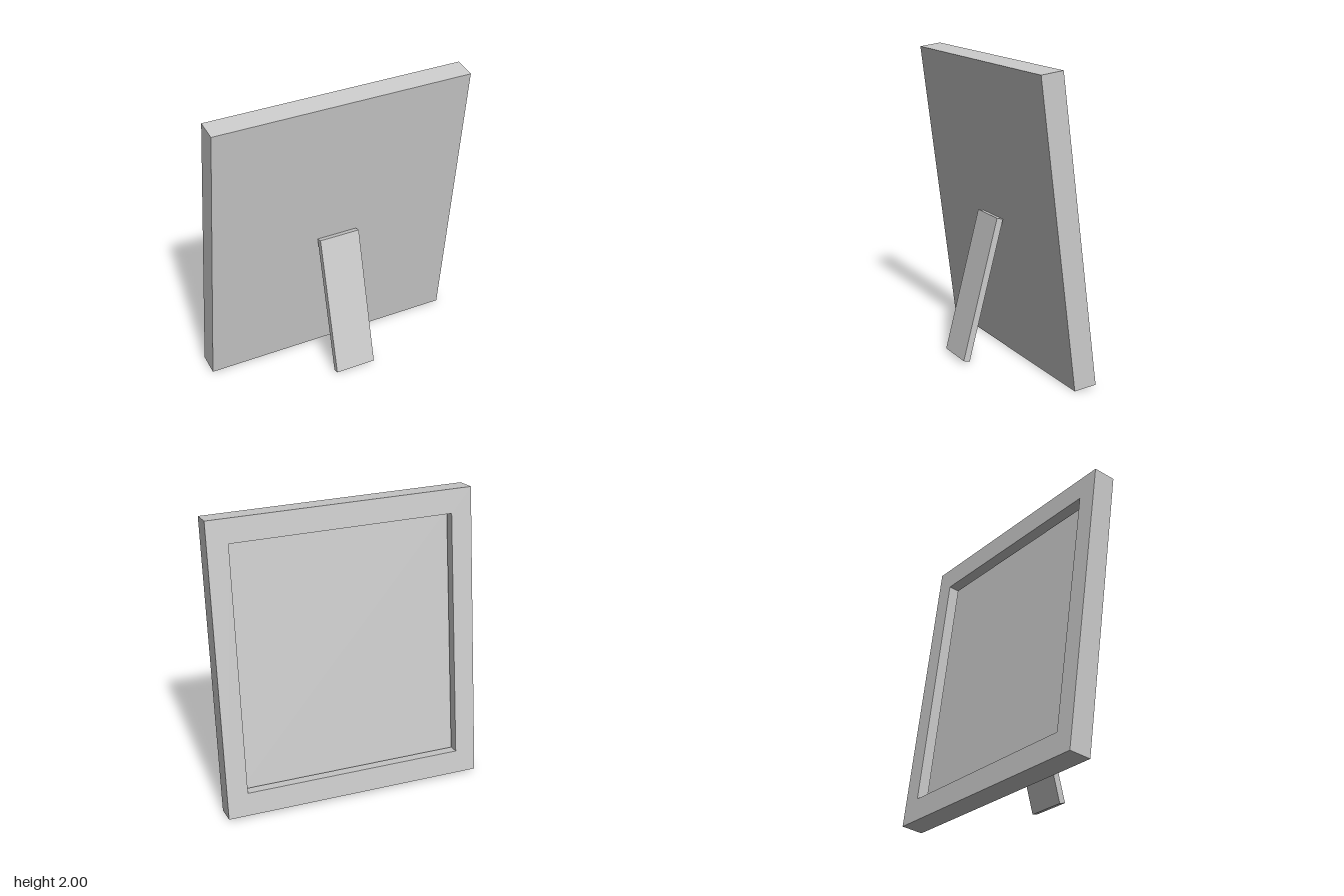
import * as THREE from 'three';

const W = 1.775, H = 1.997, T = 0.15; // outer frame
const OW = 1.496, OH = 1.676, LIP = 0.075; // opening and lip thickness
const RW = 1.616, RH = 1.796, FLOOR = 0.103; // wider rebate behind the lip, depth of its floor

// Closed shell from nested rectangles [width, height, z], centre to centre
function rectangleShell(loops) {
  const signs = [[1, 1], [-1, 1], [-1, -1], [1, -1]];
  const corner = (i, k) => {
    const [w, h, z] = loops[i], [sx, sy] = signs[k % 4];
    return [sx * w / 2, sy * h / 2, z];
  };
  const positions = [];
  for (let i = 0; i < loops.length - 1; i++) {
    for (let k = 0; k < 4; k++) {
      const a = corner(i, k), b = corner(i + 1, k);
      const c = corner(i + 1, k + 1), d = corner(i, k + 1);
      if (loops[i + 1][0] > 0) positions.push(...a, ...b, ...c);
      if (loops[i][0] > 0) positions.push(...a, ...c, ...d);
    }
  }
  const geometry = new THREE.BufferGeometry();
  geometry.setAttribute('position', new THREE.Float32BufferAttribute(positions, 3));
  geometry.computeVertexNormals();
  return geometry;
}

export function createModel() {
  const model = new THREE.Group();
  model.name = 'pictureFrame';
  const grey = new THREE.MeshStandardMaterial({ color: 0xcccccc });

  // Leaning frame, picture side towards -z, with an undercut lip around the picture
  const front = T / 2, back = -T / 2;
  const frame = new THREE.Mesh(rectangleShell([
    [0, 0, front],
    [W, H, front],
    [W, H, back],
    [OW, OH, back],
    [OW, OH, back + LIP],
    [RW, RH, back + LIP],
    [RW, RH, back + FLOOR],
    [0, 0, back + FLOOR],
  ]), grey);
  frame.name = 'frameBody';
  frame.position.set(0, 1, -0.076);
  frame.rotation.x = THREE.MathUtils.degToRad(7.4);
  model.add(frame);

  // Easel leg leaning the other way
  const leg = new THREE.Mesh(new THREE.BoxGeometry(0.282, 0.972, 0.044), grey);
  leg.name = 'easelLeg';
  leg.position.set(0, 0.484, 0.139);
  leg.rotation.x = THREE.MathUtils.degToRad(-14.5);
  model.add(leg);

  return model;
}
